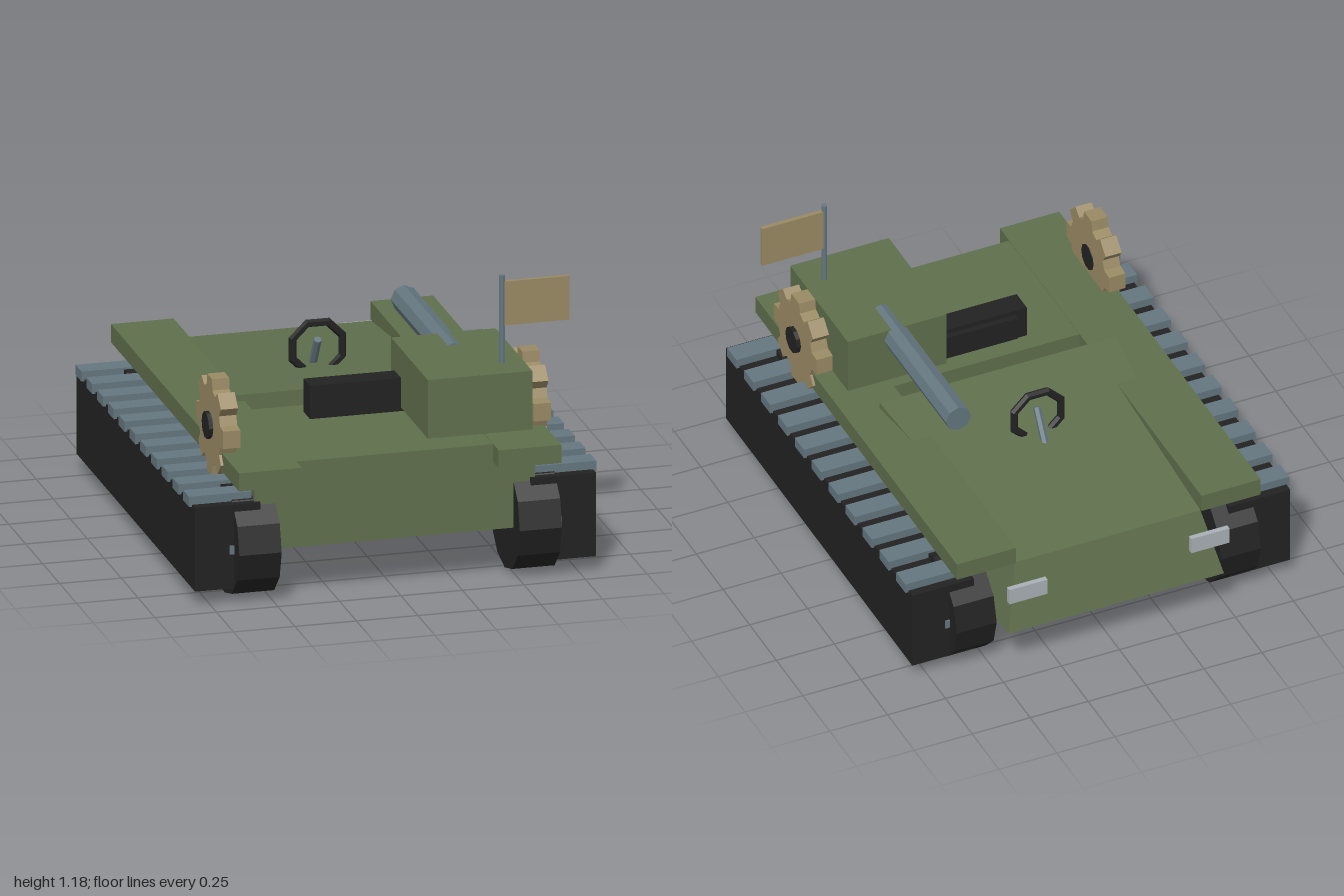
import * as THREE from 'three';

const mat = (name, color) => {
  const m = new THREE.MeshStandardMaterial({ color, flatShading: true });
  m.name = name;
  return m;
};

export function createModel() {
  const root = new THREE.Group();
  root.name = 'trackedVehicle';
  const olive = mat('olive', 0x5f6f4c), steel = mat('steel', 0x64767f);
  const tan = mat('tan', 0x9a8a64), black = mat('black', 0x222222);
  const lamp = mat('lampGrey', 0xaab0b5);

  const add = (name, geo, material, parent = root) => {
    const m = new THREE.Mesh(geo, material);
    m.name = name;
    parent.add(m);
    return m;
  };
  // Box given by its extents on each axis
  const box = (name, material, x0, x1, y0, y1, z0, z1, parent = root) => {
    const g = new THREE.BoxGeometry(x1 - x0, y1 - y0, z1 - z0);
    g.translate((x0 + x1) / 2, (y0 + y1) / 2, (z0 + z1) / 2);
    return add(name, g, material, parent);
  };
  // Symmetric block between two trapezoid ends; bottom and top are [z, y, halfWidth]
  const block = (name, backBottom, backTop, frontBottom, frontTop) => {
    const g = new THREE.BoxGeometry(2, 2, 2), p = g.attributes.position;
    for (let i = 0; i < p.count; i++) {
      const up = p.getY(i) > 0, front = p.getZ(i) > 0;
      const [z, y, w] = front ? (up ? frontTop : frontBottom) : (up ? backTop : backBottom);
      p.setXYZ(i, p.getX(i) * w, y, z);
    }
    g.computeVertexNormals();
    return add(name, g, olive);
  };

  // Hull: sloped hood, open footwell and tail block
  block('hood', [-0.97, 0.21, 0.465], [-0.89, 0.487, 0.4], [0.14, 0.21, 0.527], [0.14, 0.59, 0.51]);
  block('footwell', [0.14, 0.21, 0.527], [0.14, 0.43, 0.527], [0.245, 0.21, 0.533], [0.245, 0.43, 0.533]);
  block('tail', [0.245, 0.21, 0.533], [0.245, 0.563, 0.533], [0.905, 0.21, 0.57], [0.905, 0.563, 0.57]);

  // Seat
  box('seatCushion', black, -0.21, 0.21, 0.43, 0.49, 0.16, 0.24);
  box('seatBack', black, -0.21, 0.21, 0.55, 0.7, 0.325, 0.42);
  box('seatPad', black, -0.16, 0.16, 0.58, 0.68, 0.3, 0.33);

  // Steering wheel and column
  add('steeringWheel', new THREE.TorusGeometry(0.109, 0.017, 6, 8), black)
    .position.set(0, 0.63, -0.232);
  root.getObjectByName('steeringWheel').rotation.z = Math.PI / 8;
  const column = add('steeringColumn', new THREE.CylinderGeometry(0.016, 0.016, 0.17, 6), steel);
  column.position.set(0, 0.59, -0.27);
  column.rotation.x = 0.55;

  // Turret, barrel and flag
  box('turret', olive, 0.16, 0.585, 0.578, 0.82, 0.275, 0.815);
  const barrel = add('barrel', new THREE.CylinderGeometry(0.055, 0.055, 0.73, 8), steel);
  barrel.rotation.x = Math.PI / 2;
  barrel.position.set(0.372, 0.775, 0.065);
  add('flagPole', new THREE.CylinderGeometry(0.012, 0.012, 0.62, 8), steel)
    .position.set(0.498, 0.872, 0.685);
  box('flag', tan, 0.505, 0.77, 0.976, 1.157, 0.676, 0.694);

  // Gear outline with eight square teeth
  const gearShape = new THREE.Shape();
  for (let i = 0; i < 8; i++) {
    const a = (i * Math.PI) / 4;
    [[0.155, -0.042], [0.2, -0.036], [0.2, 0.036], [0.155, 0.042]].forEach(([r, t], k) => {
      const x = r * Math.cos(a) - t * Math.sin(a), y = r * Math.sin(a) + t * Math.cos(a);
      if (i === 0 && k === 0) gearShape.moveTo(x, y);
      else gearShape.lineTo(x, y);
    });
  }
  gearShape.closePath();

  for (const s of [1, -1]) {
    const side = new THREE.Group();
    side.name = s > 0 ? 'leftSide' : 'rightSide';
    root.add(side);
    const span = (name, m, a, b, ...rest) =>
      box(name, m, Math.min(s * a, s * b), Math.max(s * a, s * b), ...rest, side);

    span('fender', olive, 0.4, 0.655, 0.49, 0.565, -0.9, 0.99);
    span('headlight', lamp, 0.31, 0.475, 0.38, 0.45, -1.0, -0.978);
    span('track', black, 0.55, 0.815, 0.067, 0.413, -0.83, 0.92);
    for (let i = 0; i < 11; i++) {
      const z = -0.75 + i * 0.1585;
      span('trackCleat', steel, 0.575, 0.828, 0.405, 0.447, z - 0.043, z + 0.043);
    }
    span('trackRod', steel, 0.645, 0.675, 0.21, 0.245, -0.837, 0.927);

    // Twelve-sided road wheels
    for (const z of [0.775, -0.68]) {
      const w = add('wheel', new THREE.CylinderGeometry(0.222, 0.222, 0.172, 12), black, side);
      w.rotation.z = Math.PI / 2;
      w.position.set(s * 0.57, 0.225, z);
    }

    // Cog and its hub
    const cog = add('cog', new THREE.ExtrudeGeometry(gearShape, { depth: 0.07, bevelEnabled: false }), tan, side);
    cog.rotation.y = Math.PI / 2;
    cog.position.set(s * 0.631 - 0.035, 0.638, 0.593);
    const hub = add('cogHub', new THREE.CylinderGeometry(0.055, 0.055, 0.09, 10), black, side);
    hub.rotation.z = Math.PI / 2;
    hub.position.set(s * 0.638, 0.638, 0.593);
  }
  return root;
}
